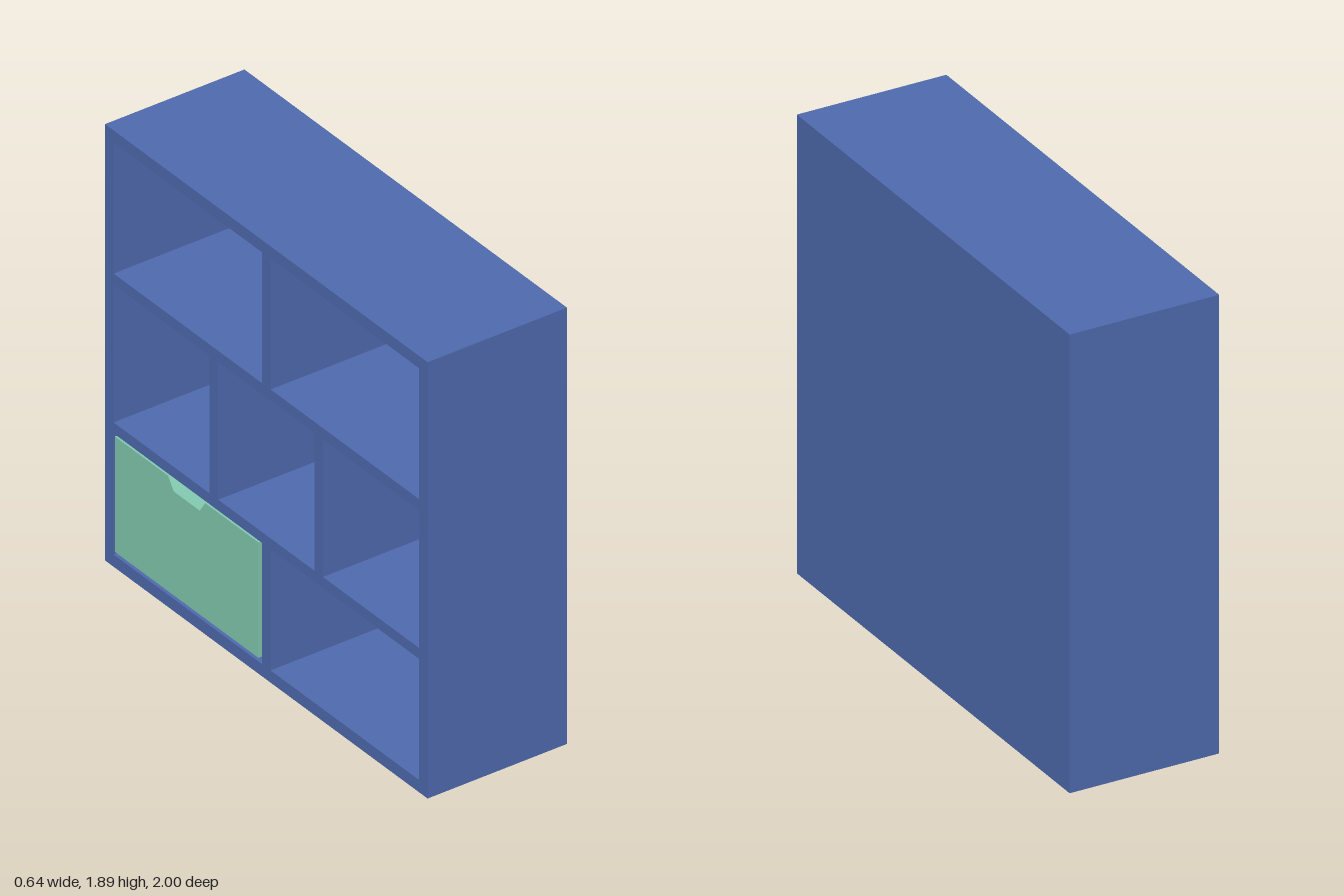
import * as THREE from 'three';

const HEIGHT = 1.89, HALF = 1, FRONT = -0.312, BACK = 0.318, CAVITY = 0.54, WALL = 0.053;

// Rectangular outline; u runs towards -z, v is up
function rect(Type, u0, u1, v0, v1) {
  return new Type([[u0, v0], [u1, v0], [u1, v1], [u0, v1]].map(([u, v]) => new THREE.Vector2(u, v)));
}

// Extrudes an outline along +x, starting at x
function slab(name, shape, x, depth, material) {
  const geometry = new THREE.ExtrudeGeometry(shape, { depth, bevelEnabled: false });
  geometry.rotateY(Math.PI / 2);
  geometry.translate(x, 0, 0);
  const mesh = new THREE.Mesh(geometry, material);
  mesh.name = name;
  return mesh;
}

export function createModel() {
  const blue = new THREE.MeshStandardMaterial({ color: 0x4f6bb0 });
  const green = new THREE.MeshStandardMaterial({ color: 0x84cbb2 });
  const model = new THREE.Group();
  model.name = 'shelfUnit';

  // Frame, shelves and dividers in one piece: rows of equal compartments
  const rows = [
    { v0: WALL, v1: 0.578, count: 2 },
    { v0: 0.625, v1: 1.222, count: 3 },
    { v0: 1.27, v1: HEIGHT - WALL, count: 2 },
  ];
  const frame = rect(THREE.Shape, -HALF, HALF, 0, HEIGHT);
  for (const { v0, v1, count } of rows) {
    const width = (2 * HALF - (count + 1) * WALL) / count;
    for (let i = 0; i < count; i++) {
      const u0 = -HALF + WALL + i * (width + WALL);
      frame.holes.push(rect(THREE.Path, u0, u0 + width, v0, v1));
    }
  }
  model.add(slab('frame', frame, FRONT, CAVITY, blue));

  // Thick closed back
  const panel = rect(THREE.Shape, -HALF, HALF, 0, HEIGHT);
  model.add(slab('backPanel', panel, FRONT + CAVITY, BACK - FRONT - CAVITY, blue));

  // Drawer front with a tapered finger notch in its top edge
  const u0 = 0.04, u1 = 0.93, v0 = 0.075, v1 = 0.575, mid = (u0 + u1) / 2;
  const front = new THREE.Shape([
    [u0, v0], [u1, v0], [u1, v1], [mid + 0.115, v1], [mid + 0.08, v1 - 0.05],
    [mid - 0.08, v1 - 0.05], [mid - 0.115, v1], [u0, v1],
  ].map(([u, v]) => new THREE.Vector2(u, v)));
  model.add(slab('drawerFront', front, -0.318, 0.08, green));

  return model;
}
